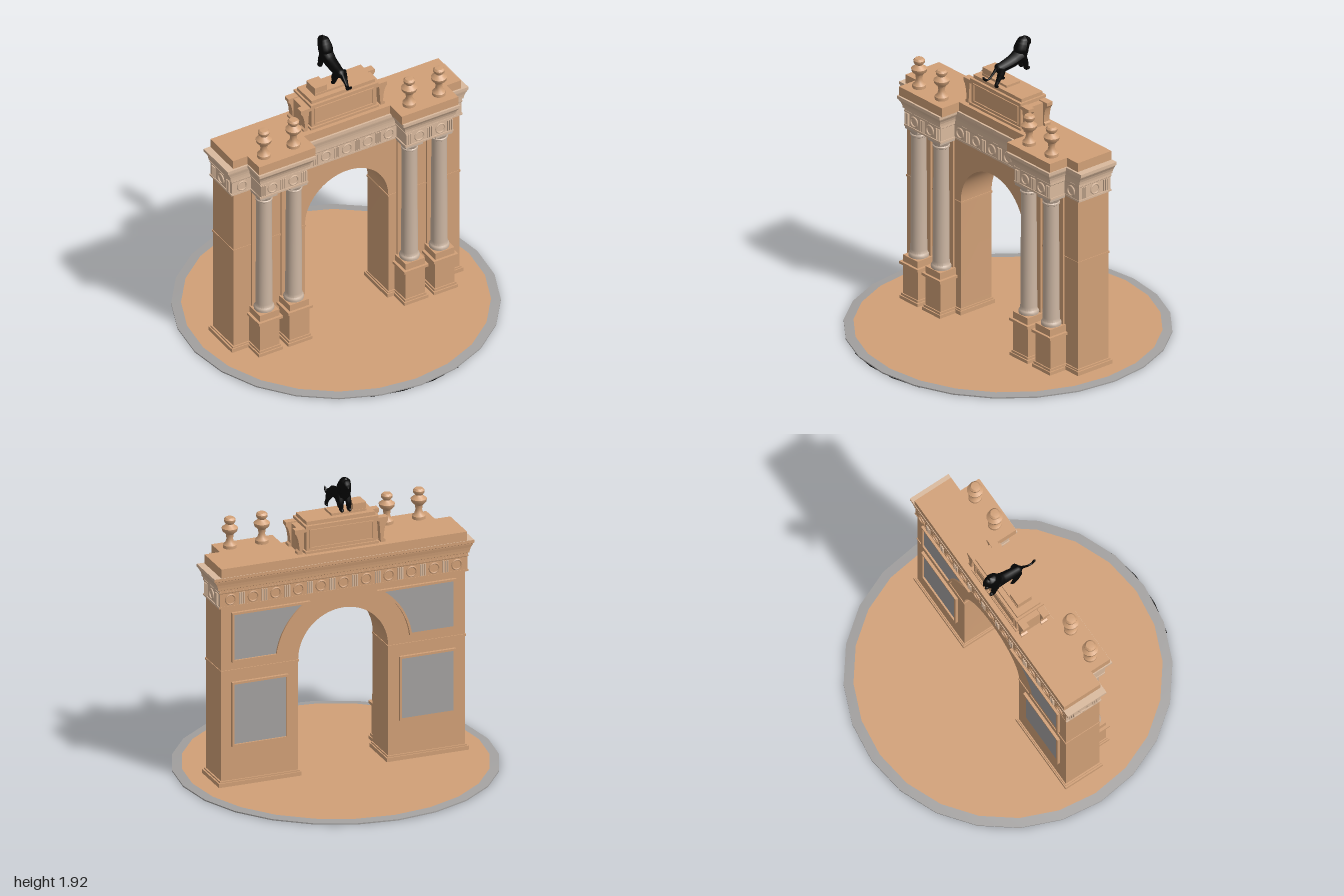
import * as THREE from 'three';
import { mergeGeometries, toCreasedNormals } from 'three/addons/utils/BufferGeometryUtils.js';

const mat = (name, color, side = THREE.FrontSide) => {
  const m = new THREE.MeshStandardMaterial({ color, side });
  m.name = name;
  return m;
};

export function createModel() {
  const root = new THREE.Group();
  root.name = 'triumphalArch';
  const sandstone = mat('sandstone', 0xd1a077), paleStone = mat('paleStone', 0xd9b99d);
  const columnStone = mat('columnStone', 0xcab4a1);
  const slate = mat('slate', 0xa3a1a0), bronze = mat('blackBronze', 0x040404, THREE.DoubleSide);

  const add = (name, geo, material, x = 0, y = 0, z = 0, parent = root) => {
    const m = new THREE.Mesh(geo, material);
    m.name = name;
    m.position.set(x, y, z);
    parent.add(m);
    return m;
  };
  // box given by its min and max on each axis
  const box = (name, material, x0, x1, y0, y1, z0, z1) =>
    add(name, new THREE.BoxGeometry(x1 - x0, y1 - y0, z1 - z0), material, (x0 + x1) / 2, (y0 + y1) / 2, (z0 + z1) / 2);
  const lathe = (pts, n = 24) =>
    toCreasedNormals(new THREE.LatheGeometry(pts.map(p => new THREE.Vector2(...p)), n), 0.7);
  const V2 = (x, y) => new THREE.Vector2(x, y);

  // ---- round ground slab with bevelled rim
  add('groundRim', lathe([[1, 0], [1, 0.008], [0.94, 0.014]]), slate);
  const top = add('groundTop', new THREE.CircleGeometry(0.94, 24), sandstone, 0, 0.014, 0);
  top.rotation.x = -Math.PI / 2;
  // underside in coloured sectors, given by start and end in degrees
  const sectors = [[-56, 73, sandstone], [73, 109, bronze], [109, 149, sandstone], [149, 164, slate],
    [164, 291, sandstone], [291, 304, slate]];
  for (const [a, b, m] of sectors) {
    const n = Math.ceil((b - a) / 15), rad = Math.PI / 180;
    const under = add('groundUnderside', new THREE.CircleGeometry(1, n, a * rad, (b - a) * rad), m);
    under.rotation.x = Math.PI / 2;
  }

  // ---- main body with arched opening
  const R = 0.295, spring = 0.77;
  const body = new THREE.Shape();
  body.moveTo(-0.8, 0.01).lineTo(-R, 0.01).lineTo(-R, spring);
  body.absarc(0, spring, R, Math.PI, 0, true);
  body.lineTo(R, 0.01).lineTo(0.8, 0.01).lineTo(0.8, 1.19).lineTo(-0.8, 1.19);
  const bodyGeo = new THREE.ExtrudeGeometry(body, { depth: 0.245, bevelEnabled: false, curveSegments: 18 });
  add('archBody', toCreasedNormals(bodyGeo, 0.5), sandstone, 0, 0, -0.12);

  // ---- columns, pedestals, urns
  const shaft = lathe([[0, 0.31], [0.062, 0.31], [0.064, 0.32], [0.06, 0.332], [0.054, 0.338], [0.052, 0.36],
    [0.047, 1.12], [0.053, 1.125], [0.053, 1.135], [0.048, 1.14], [0.058, 1.165], [0, 1.165]]);
  const urn = lathe([[0.042, 1.44], [0.042, 1.462], [0.028, 1.475], [0.02, 1.5], [0.024, 1.53], [0.046, 1.552],
    [0.05, 1.572], [0.032, 1.586], [0.022, 1.596], [0.034, 1.61], [0.036, 1.626], [0.026, 1.638], [0, 1.641]], 16);
  for (const s of [-1, 1]) {
    const span = (name, a, b, ...rest) => box(name, sandstone, Math.min(s * a, s * b), Math.max(s * a, s * b), ...rest);
    span('pierPlinth', 0.28, 0.82, 0.012, 0.04, -0.135, 0.14);
    span('pierPlinthMoulding', 0.288, 0.81, 0.04, 0.05, -0.128, 0.133);
    span('impostBand', 0.291, 0.804, 0.757, 0.77, -0.125, 0.128);
    for (const cx of [0.41, 0.62]) {
      const x = s * cx;
      const block = (name, m, h, y0, y1, z1, z0 = 0.12) => box(name, m, x - h, x + h, y0, y1, z0, z1);
      block('pedestalFoot', sandstone, 0.085, 0.012, 0.035, 0.265);
      block('pedestalFootMoulding', sandstone, 0.077, 0.035, 0.05, 0.257);
      block('pedestal', sandstone, 0.07, 0.05, 0.248, 0.25);
      block('pedestalCap', sandstone, 0.086, 0.248, 0.265, 0.266);
      block('columnPlinth', sandstone, 0.068, 0.265, 0.31, 0.25);
      block('pilaster', sandstone, 0.058, 0.31, 1.18, 0.138);
      block('abacus', columnStone, 0.06, 1.165, 1.185, 0.243);
      add('column', shaft, columnStone, x, 0, 0.183);
      add('urn', urn, sandstone, x, 0, 0.18);
    }
  }

  // ---- entablature: the plan breaks forward over each column pair; d pushes it outward
  const plan = d => {
    const X = 0.812 + d, f = 0.127 + d * 0.4, b = -0.127 - d * 0.35, p = 0.24 + d, i = 0.35 - d, o = 0.68 + d * 0.8;
    return [[-X, b], [-X, f], [-o, f], [-o, p], [-i, p], [-i, f], [i, f], [i, p], [o, p], [o, f], [X, f], [X, b]];
  };
  // pale front and ends, sandstone back
  const entablature = (name, levels) => {
    const front = [], back = [];
    for (let k = 0; k + 1 < levels.length; k++) {
      const [d0, y0] = levels[k], [d1, y1] = levels[k + 1], lo = plan(d0), hi = plan(d1);
      lo.forEach((a, i) => {
        const j = (i + 1) % lo.length, b = lo[j], c = hi[j], e = hi[i];
        (j === 0 ? back : front).push(a[0], y0, a[1], b[0], y0, b[1], c[0], y1, c[1],
          a[0], y0, a[1], c[0], y1, c[1], e[0], y1, e[1]);
      });
    }
    const [frontGeo, backGeo] = [front, back].map(pos => {
      const g = new THREE.BufferGeometry();
      g.setAttribute('position', new THREE.Float32BufferAttribute(pos, 3));
      g.computeVertexNormals();
      return g;
    });
    const cap = ([d, y], up) => {
      const g = new THREE.ShapeGeometry(new THREE.Shape(plan(d).map(([x, z]) => V2(x, up ? -z : z)))).toNonIndexed();
      g.deleteAttribute('uv');
      return g.rotateX(up ? -Math.PI / 2 : Math.PI / 2).translate(0, y, 0);
    };
    add(name + 'Front', mergeGeometries([frontGeo, cap(levels[0], false), cap(levels[levels.length - 1], true)]), paleStone);
    add(name + 'Back', backGeo, sandstone);
  };
  entablature('frieze', [[0.006, 1.18], [0.006, 1.192], [0, 1.192], [0, 1.275], [0.006, 1.28], [0.006, 1.288]]);
  entablature('cornice', [[0.004, 1.288], [0.004, 1.3], [0.012, 1.302], [0.014, 1.318], [0.02, 1.335],
    [0.032, 1.355], [0.034, 1.362], [0.04, 1.364], [0.04, 1.383]]);
  // attic course, set back at the ends
  box('attic', sandstone, -0.806, 0.806, 1.38, 1.442, -0.137, 0.13);
  for (const s of [-1, 1]) box('atticProjection', sandstone, s * 0.505 - 0.2, s * 0.505 + 0.2, 1.38, 1.442, 0.1, 0.267);

  // ---- frieze ornaments: ringed discs alternating with triple bars
  const ringGeo = new THREE.TorusGeometry(0.031, 0.006, 6, 20), barGeo = new THREE.BoxGeometry(0.008, 0.076, 0.016);
  const ornament = (isRing, x, z, turn, ringStone = paleStone) => {
    const g = new THREE.Group();
    g.name = isRing ? 'friezeRing' : 'friezeBars';
    g.position.set(x, 1.234, z);
    g.rotation.y = turn;
    if (isRing) add('ring', ringGeo, ringStone, 0, 0, 0.002, g);
    else for (const k of [-1, 0, 1]) add('bar', barGeo, paleStone, k * 0.014, 0, 0, g);
    root.add(g);
  };
  for (let k = -10; k <= 10; k++) {
    const x = k * 0.0742, forward = Math.abs(x) > 0.35 && Math.abs(x) < 0.68;
    const xf = Math.abs(k) === 9 ? Math.sign(k) * 0.66 : x;
    ornament(k % 2 === 0, xf, forward ? 0.24 : 0.127, 0);
    ornament(k % 2 === 0, x, -0.127, Math.PI, sandstone);
  }
  for (const s of [-1, 1]) for (const k of [-1, 0, 1]) ornament(k === 0, s * 0.812, k * 0.085, s * Math.PI / 2);

  // ---- framed slate panels on the back
  const rectPanel = e => [V2(0.365 + e, 0.27 + e), V2(0.735 - e, 0.27 + e), V2(0.735 - e, 0.69 - e), V2(0.365 + e, 0.69 - e)];
  const spandrel = e => {
    const r = 0.435 + e, y0 = 0.82 + e, y1 = 1.145 - e;
    const a0 = Math.asin((y0 - spring) / r), a1 = Math.asin((y1 - spring) / r), pts = [];
    for (let k = 0; k <= 12; k++) {
      const a = a1 + (a0 - a1) * k / 12;
      pts.push(V2(r * Math.cos(a), spring + r * Math.sin(a)));
    }
    return [...pts, V2(0.735 - e, y0), V2(0.735 - e, y1)];
  };
  for (const outline of [rectPanel, spandrel]) for (const s of [-1, 1]) {
    const side = e => outline(e).map(p => V2(p.x * s, p.y));
    const frame = new THREE.Shape(side(0));
    frame.holes.push(new THREE.Path(side(0.014)));
    add('panelFrame', new THREE.ExtrudeGeometry(frame, { depth: 0.02, bevelEnabled: false }), sandstone, 0, 0, -0.138);
    add('slatePanel', new THREE.ExtrudeGeometry(new THREE.Shape(side(0.013)), { depth: 0.008, bevelEnabled: false }),
      slate, 0, 0, -0.127);
  }

  // ---- statue pedestal
  box('statuePedestalFoot', sandstone, -0.24, 0.24, 1.44, 1.458, -0.105, 0.105);
  box('statuePedestal', sandstone, -0.23, 0.23, 1.45, 1.61, -0.095, 0.095);
  box('statuePedestalCap', sandstone, -0.238, 0.238, 1.605, 1.622, -0.102, 0.102);
  box('statuePedestalCapTop', sandstone, -0.225, 0.225, 1.62, 1.645, -0.085, 0.085);
  box('statueStep', sandstone, -0.18, 0.05, 1.64, 1.66, -0.053, 0.053);
  box('statueBlock', sandstone, -0.18, -0.095, 1.64, 1.7, -0.05, 0.05);
  for (const z of [-0.097, 0.097]) {
    for (const y of [1.475, 1.59]) box('pedestalRail', sandstone, -0.205, 0.205, y - 0.004, y + 0.004, z - 0.005, z + 0.005);
    for (const x of [-0.205, 0.205]) box('pedestalStile', sandstone, x - 0.004, x + 0.004, 1.471, 1.594, z - 0.005, z + 0.005);
  }
  // side scroll brackets, joined to the pedestal at the top
  const scroll = new THREE.Shape();
  scroll.moveTo(0.258, 1.44).lineTo(0.288, 1.44).lineTo(0.288, 1.458).lineTo(0.276, 1.465);
  scroll.quadraticCurveTo(0.278, 1.53, 0.294, 1.565).lineTo(0.305, 1.58).lineTo(0.305, 1.603).lineTo(0.22, 1.603);
  scroll.lineTo(0.22, 1.585).lineTo(0.248, 1.58);
  const scrollGeo = new THREE.ExtrudeGeometry(scroll, { depth: 0.045, bevelEnabled: false });
  for (const s of [-1, 1]) {
    for (const z of [-0.095, 0.05]) {
      const m = add('scrollBracket', scrollGeo, sandstone, 0, 0, s > 0 ? z : z + 0.045);
      m.rotation.y = s > 0 ? 0 : Math.PI;
    }
    box('bracketCore', sandstone, s * 0.245 - 0.025, s * 0.245 + 0.025, 1.44, 1.595, -0.055, 0.055);
  }

  // ---- lion statue, made of tapering tubes; each point is [x, y, z, radius]
  const lion = new THREE.Group();
  lion.name = 'lion';
  lion.position.x = -0.008;
  root.add(lion);
  const limb = (name, pts, flat = 1) => {
    const curve = new THREE.CatmullRomCurve3(pts.map(p => new THREE.Vector3(p[0], p[1], p[2])));
    const n = 6 * (pts.length - 1), g = new THREE.TubeGeometry(curve, n, 1, 10), P = g.attributes.position;
    const v = new THREE.Vector3();
    for (let i = 0; i <= n; i++) {
      const c = curve.getPointAt(i / n), t = curve.getUtoTmapping(i / n) * (pts.length - 1);
      const k = Math.min(Math.floor(t), pts.length - 2), r = THREE.MathUtils.lerp(pts[k][3], pts[k + 1][3], t - k);
      for (let j = 0; j <= 10; j++) {
        const q = i * 11 + j;
        v.fromBufferAttribute(P, q).sub(c).multiplyScalar(r);
        v.x *= flat;
        v.add(c);
        P.setXYZ(q, v.x, v.y, v.z);
      }
    }
    g.computeVertexNormals();
    add(name, g, bronze, 0, 0, 0, lion);
  };
  limb('lionBody', [[0, 1.755, 0.1, 0.004], [0, 1.758, 0.075, 0.03], [0, 1.765, 0.02, 0.036], [0, 1.78, -0.05, 0.042],
    [0, 1.8, -0.1, 0.05], [0, 1.81, -0.14, 0.025], [0, 1.812, -0.155, 0.003]], 0.9);
  limb('lionMane', [[0, 1.765, -0.105, 0.005], [0, 1.79, -0.105, 0.045], [0, 1.835, -0.11, 0.052], [0, 1.87, -0.125, 0.047],
    [0, 1.9, -0.134, 0.036], [0, 1.918, -0.138, 0.003]], 0.85);
  limb('lionHead', [[0, 1.88, -0.11, 0.03], [0, 1.876, -0.15, 0.034], [0, 1.864, -0.175, 0.021], [0, 1.86, -0.188, 0.003]], 0.85);
  for (const s of [-1, 1]) limb('lionForeleg', [[s * 0.02, 1.8, -0.105, 0.025], [s * 0.025, 1.75, -0.125, 0.018],
    [s * 0.025, 1.712, -0.13, 0.013], [s * 0.025, 1.708, -0.15, 0.011], [s * 0.025, 1.706, -0.158, 0.002]]);
  limb('lionHindLegBack', [[0.018, 1.765, 0.055, 0.026], [0.022, 1.725, 0.07, 0.022], [0.024, 1.69, 0.095, 0.012],
    [0.025, 1.66, 0.108, 0.011], [0.025, 1.652, 0.09, 0.003]]);
  limb('lionHindLegFront', [[-0.018, 1.765, 0.055, 0.026], [-0.022, 1.72, 0.035, 0.022], [-0.024, 1.69, 0.03, 0.013],
    [-0.024, 1.671, 0.015, 0.012], [-0.024, 1.668, -0.003, 0.003]]);
  limb('lionTail', [[0, 1.765, 0.085, 0.01], [0, 1.735, 0.115, 0.007], [0, 1.712, 0.145, 0.006], [0, 1.713, 0.172, 0.007],
    [0, 1.728, 0.185, 0.009], [0, 1.742, 0.193, 0.002]]);

  return root;
}
